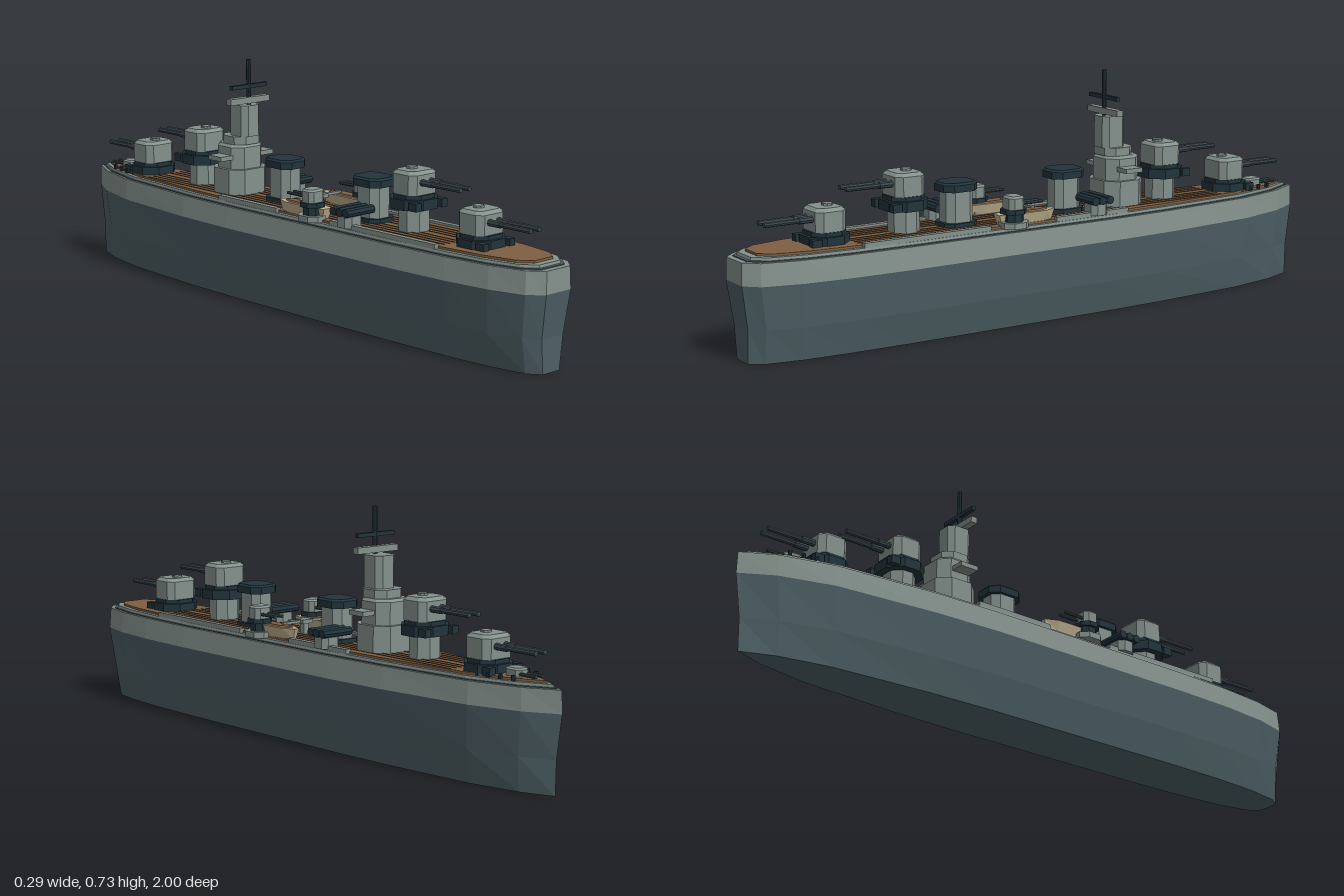
import * as THREE from 'three';

const mat = (name, color) => Object.assign(new THREE.MeshStandardMaterial({ color, flatShading: true }), { name });

export function createModel() {
  const ship = new THREE.Group();
  ship.name = 'warship';
  const grey = mat('light grey paint', 0x84918c);
  const slate = mat('slate hull', 0x4e6066);
  const navy = mat('dark navy', 0x22343c);
  const steel = mat('gun steel', 0x3a474c);
  const wood = mat('deck wood', 0x7e5f42);
  const seam = mat('deck seam', 0x55402e);
  const cream = mat('boat cream', 0xc0b391);

  const add = (parent, name, geo, material, x = 0, y = 0, z = 0) => {
    const mesh = new THREE.Mesh(geo, material);
    mesh.name = name;
    mesh.position.set(x, y, z);
    parent.add(mesh);
    return mesh;
  };

  // Closed loft of one outline through levels [y, x scale, z scale]
  const loft = (outline, levels) => {
    const v = [], n = outline.length;
    const at = (i, l) => [outline[i % n][0] * l[1], l[0], outline[i % n][1] * l[2]];
    const first = levels[0], last = levels[levels.length - 1];
    for (let i = 0; i < n; i++) {
      for (let k = 0; k < levels.length - 1; k++) {
        const a = at(i, levels[k]), b = at(i + 1, levels[k]);
        const c = at(i, levels[k + 1]), d = at(i + 1, levels[k + 1]);
        v.push(...a, ...c, ...d, ...a, ...d, ...b);
      }
      v.push(0, last[0], 0, ...at(i + 1, last), ...at(i, last));
      v.push(0, first[0], 0, ...at(i, first), ...at(i + 1, first));
    }
    const g = new THREE.BufferGeometry();
    g.setAttribute('position', new THREE.Float32BufferAttribute(v, 3));
    g.computeVertexNormals();
    return g;
  };

  // Block with chamfered corners and an optional sloped top edge
  const block = (w, d, c, y0, y1, bevel = 0) => {
    const a = w / 2, b = d / 2;
    const pts = [[a, c - b], [a, b - c], [a - c, b], [c - a, b], [-a, b - c], [-a, c - b], [c - a, -b], [a - c, -b]];
    const levels = [[y0, 1, 1], [y1 - bevel, 1, 1]];
    if (bevel) levels.push([y1, 1 - bevel / a, 1 - bevel / b]);
    return loft(pts, levels);
  };
  const box = (w, h, d) => new THREE.BoxGeometry(w, h, d);
  const rodZ = (r, len, sides = 8) => new THREE.CylinderGeometry(r, r, len, sides).rotateX(Math.PI / 2);

  // Hull outline: bow at -z, broad stern at +z
  const half = [[0.055, -0.9], [0.1, -0.74], [0.131, -0.42], [0.14, -0.2], [0.14, 0.5],
    [0.133, 0.7], [0.118, 0.85], [0.09, 0.96], [0.05, 1]];
  const hull = [[0, -1], ...half, ...half.slice().reverse().map(([x, z]) => [-x, z])];
  add(ship, 'lowerHull', loft(hull, [[0, 0.68, 0.98], [0.1, 0.87, 0.982], [0.228, 1, 1]]), slate);
  add(ship, 'upperHull', loft(hull, [[0.228, 1, 1], [0.293, 0.945, 0.998]]), grey);
  add(ship, 'deckGutter', loft(hull, [[0.293, 0.9, 0.98], [0.296, 0.9, 0.98]]), slate);
  add(ship, 'deckCoaming', loft(hull, [[0.293, 0.87, 0.97], [0.304, 0.85, 0.967]]), grey);
  add(ship, 'woodDeck', loft(hull, [[0.304, 0.76, 0.945], [0.311, 0.76, 0.945]]), wood);

  // Deck seams and side rails
  for (const s of [-1, 1]) {
    for (const x of [0.015, 0.035, 0.055, 0.075])
      add(ship, 'deckSeam', box(0.003, 0.002, 1.3), seam, s * x, 0.3115, 0);
    add(ship, 'aftRail', box(0.018, 0.014, 0.42), grey, s * 0.108, 0.311, 0.44);
    add(ship, 'foreRail', box(0.018, 0.014, 0.26), grey, s * 0.108, 0.311, -0.13);
  }

  // Main turrets: [z, height of the house, direction]
  for (const [z, y, dir] of [[0.715, 0.347, 1], [0.457, 0.42, 1], [-0.465, 0.42, -1], [-0.72, 0.347, -1]]) {
    const turret = new THREE.Group();
    turret.name = 'mainTurret';
    turret.position.z = z;
    if (dir < 0) turret.rotation.y = Math.PI;
    ship.add(turret);
    if (y > 0.4) add(turret, 'barbette', block(0.09, 0.085, 0.025, 0.305, 0.38), grey);
    add(turret, 'turretRing', block(0.135, 0.13, 0.038, y - 0.042, y - 0.012), navy);
    add(turret, 'turretCollar', block(0.115, 0.11, 0.03, y - 0.012, y), navy);
    add(turret, 'turretHouse', block(0.11, 0.096, 0.018, y, y + 0.068, 0.01), grey);
    add(turret, 'turretHatch', block(0.03, 0.03, 0.008, y + 0.066, y + 0.074), grey, 0, 0, -0.01);
    for (const s of [-1, 1]) {
      add(turret, 'ringLug', box(0.022, 0.024, 0.03), navy, s * 0.053, y - 0.028, 0.055);
      add(turret, 'barrelSleeve', rodZ(0.01, 0.05), steel, s * 0.018, y + 0.036, 0.065);
      add(turret, 'gunBarrel', rodZ(0.0075, 0.16), steel, s * 0.018, y + 0.036, 0.118);
    }
  }

  // Funnels
  for (const z of [0.285, -0.095]) {
    add(ship, 'funnelBase', block(0.1, 0.11, 0.022, 0.308, 0.323), navy, 0.008, 0, z);
    add(ship, 'funnelBody', block(0.08, 0.09, 0.02, 0.32, 0.425), grey, 0.008, 0, z);
    add(ship, 'funnelCap', block(0.1, 0.115, 0.024, 0.415, 0.442, 0.006), navy, 0.008, 0, z);
  }

  // Triple torpedo mounts, one on each beam
  for (const [s, z] of [[-1, 0.293], [1, -0.152]]) {
    add(ship, 'torpedoMount', block(0.066, 0.06, 0.015, 0.308, 0.342), grey, s * 0.098, 0, z);
    for (const k of [-1, 0, 1])
      add(ship, 'torpedoTube', new THREE.CylinderGeometry(0.013, 0.013, 0.108, 8).rotateZ(Math.PI / 2),
        navy, s * 0.085, 0.354, z + k * 0.026);
  }

  // Bridge tower
  const zb = -0.295;
  add(ship, 'bridgeBase', block(0.15, 0.14, 0.035, 0.305, 0.39), grey, 0, 0, zb);
  add(ship, 'bridgeMiddle', block(0.125, 0.12, 0.03, 0.39, 0.465, 0.008), grey, 0, 0, zb);
  add(ship, 'bridgeTop', block(0.105, 0.1, 0.025, 0.465, 0.49), grey, 0, 0, zb + 0.01);
  add(ship, 'bridgeWings', box(0.212, 0.014, 0.06), grey, 0, 0.426, -0.29);
  add(ship, 'controlTower', block(0.074, 0.08, 0.016, 0.49, 0.586), grey, 0, 0, -0.27);
  add(ship, 'rangefinder', box(0.156, 0.019, 0.022), grey, 0, 0.6, -0.255);
  add(ship, 'mast', new THREE.CylinderGeometry(0.007, 0.007, 0.14, 8), navy, 0, 0.655, -0.252);
  add(ship, 'mastYard', box(0.142, 0.012, 0.012), navy, 0, 0.643, -0.252);

  // Ship's boats and beam guns, mirrored
  const boatOutline = [[0.008, -0.1], [0.026, -0.06], [0.028, 0.05], [0.018, 0.1],
    [-0.018, 0.1], [-0.028, 0.05], [-0.026, -0.06], [-0.008, -0.1]];
  for (const s of [-1, 1]) {
    add(ship, 'boatHull', loft(boatOutline, [[0.311, 0.65, 0.9], [0.343, 1, 1]]), cream, s * 0.088, 0, 0.095);
    add(ship, 'boatCover', loft(boatOutline, [[0.343, 0.7, 0.75], [0.348, 0.6, 0.7]]), wood, s * 0.088, 0, 0.095);
    add(ship, 'sponson', block(0.075, 0.085, 0.022, 0.304, 0.322), grey, s * 0.108, 0, 0.148);
    add(ship, 'sponsonPost', block(0.05, 0.055, 0.015, 0.322, 0.346), navy, s * 0.108, 0, 0.148);
    add(ship, 'beamGunRing', block(0.072, 0.07, 0.02, 0.346, 0.36), navy, s * 0.106, 0, 0.148);
    add(ship, 'beamGunHouse', block(0.06, 0.052, 0.012, 0.36, 0.399, 0.006), grey, s * 0.106, 0, 0.148);
    for (const k of [-1, 1])
      add(ship, 'beamGunBarrel', rodZ(0.005, 0.08), steel, s * 0.106 + k * 0.012, 0.374, 0.095);
  }

  // Catwalk between the boats
  add(ship, 'catwalk', box(0.17, 0.008, 0.012), grey, 0, 0.35, 0.065);
  add(ship, 'catwalkPlatform', box(0.04, 0.012, 0.035), grey, 0, 0.35, 0.065);
  add(ship, 'catwalkPost', box(0.018, 0.04, 0.018), grey, 0, 0.328, 0.065);

  // Bow winch house with chain and bollards
  add(ship, 'winchHouse', block(0.048, 0.06, 0.012, 0.308, 0.334, 0.005), grey, 0, 0, -0.83);
  for (const s of [-1, 1]) {
    add(ship, 'anchorChain', rodZ(0.005, 0.1), steel, s * 0.013, 0.318, -0.865);
    for (const z of [-0.86, -0.82, -0.78])
      add(ship, 'bollard', new THREE.CylinderGeometry(0.006, 0.006, 0.016, 8), navy, s * (0.045 + (z + 0.86) * 0.2), 0.312, z);
  }
  return ship;
}
